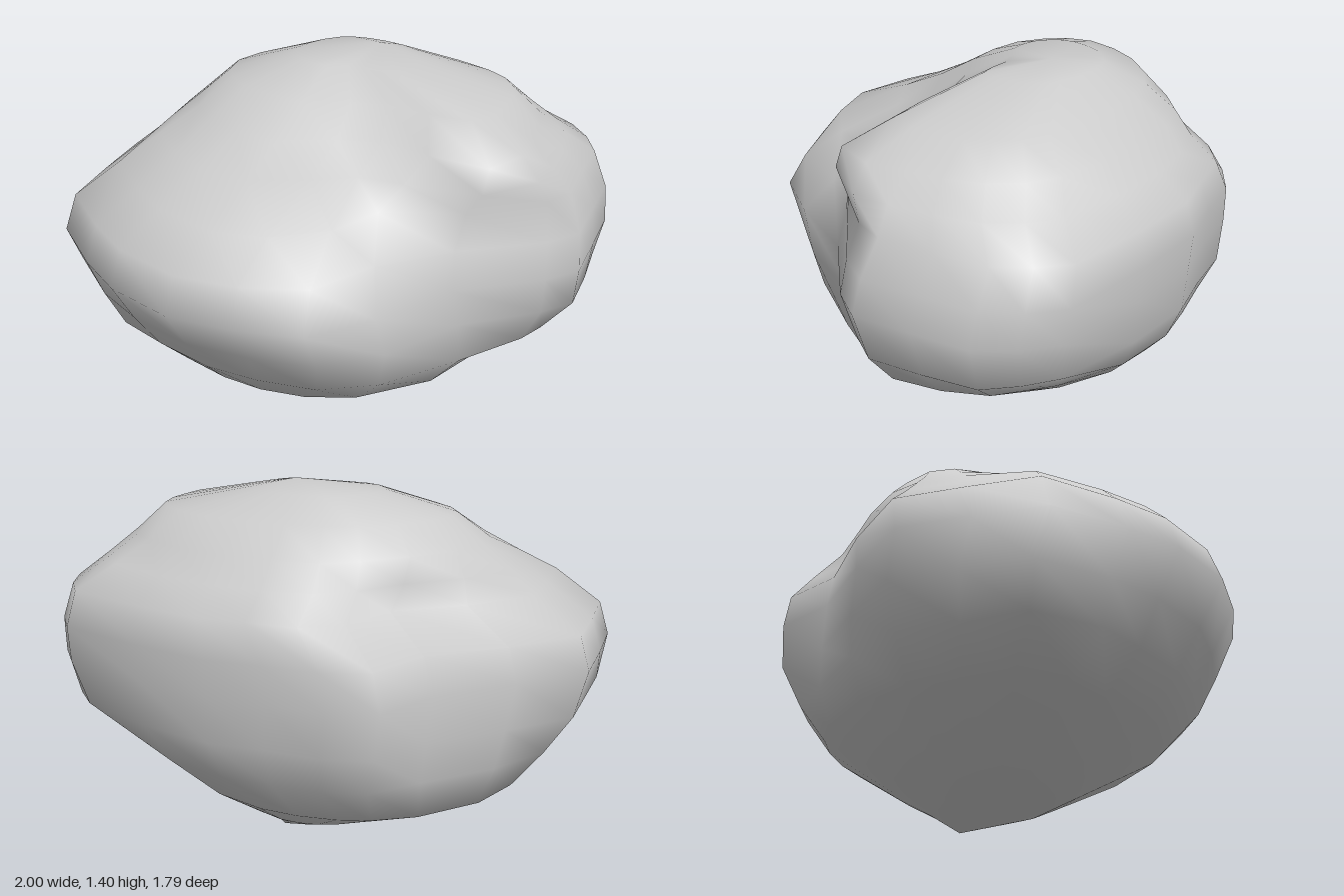
import * as THREE from 'three';

const { lerp, mapLinear, smoothstep } = THREE.MathUtils;

// Plan outline of the boulder at its widest, as [x, z], clockwise seen from above
const middleOutline = [
  [-1, -0.07], [-0.8, -0.32], [-0.58, -0.57], [-0.48, -0.82], [-0.3, -0.88], [-0.08, -0.88], [0.14, -0.9],
  [0.45, -0.84], [0.83, -0.74], [0.93, -0.62], [1, -0.48], [1, -0.25], [1, -0.02], [0.9, 0.1],
  [0.63, 0.33], [0.46, 0.66], [0.26, 0.84], [0.0, 0.88], [-0.25, 0.89], [-0.53, 0.8], [-0.72, 0.67],
  [-0.95, 0.47], [-0.98, 0.2],
];

// Fuller outline of the crown, in the same order and range
const crownOutline = [
  [-1, 0.1], [-0.93, -0.2], [-0.8, -0.5], [-0.6, -0.75], [-0.4, -0.86], [-0.15, -0.9], [0.14, -0.88],
  [0.45, -0.8], [0.7, -0.65], [0.85, -0.5], [0.95, -0.3], [1, -0.05], [1, 0.2], [0.98, 0.46],
  [0.87, 0.72], [0.6, 0.72], [0.3, 0.65], [0.05, 0.72], [-0.25, 0.88], [-0.5, 0.85], [-0.72, 0.75],
  [-0.88, 0.55], [-0.97, 0.35],
];

// Extents of each level: [y, xMin, xMax, zMin, zMax]
const levels = [
  [0.05, -0.14, 0.24, -0.37, 0.11],
  [0.11, -0.33, 0.36, -0.48, 0.24],
  [0.25, -0.74, 0.62, -0.7, 0.56],
  [0.4, -0.86, 0.86, -0.81, 0.71],
  [0.55, -0.96, 0.98, -0.87, 0.8],
  [0.72, -1, 1, -0.88, 0.9],
  [0.86, -0.97, 0.98, -0.89, 0.85],
  [1.0, -0.8, 0.92, -0.87, 0.74],
  [1.09, -0.71, 0.84, -0.77, 0.5],
  [1.18, -0.61, 0.75, -0.7, 0.31],
  [1.28, -0.5, 0.64, -0.57, 0.14],
  [1.36, -0.24, 0.26, -0.42, -0.05],
];

// Local swellings (+) and hollows (-): centre, strength, spread
const bumps = [
  [new THREE.Vector3(0.4, 1.03, 0.52), -0.28, 0.08], // groove between front and left lobes
  [new THREE.Vector3(0.68, 1.05, 0.18), 0.13, 0.04], // front edge of the left lobe
  [new THREE.Vector3(-0.72, 0.3, 0.42), 0.13, 0.06], // low front right corner
  [new THREE.Vector3(0.75, 0.42, -0.65), -0.08, 0.06], // undercut back left corner
  [new THREE.Vector3(-0.5, 1.08, -0.65), -0.12, 0.06], // sloping back right shoulder
];

// Outline point j at height y: elliptical at the base, lobed in the middle, full at the crown
function outlinePoint(j, y) {
  const [mx, mz] = middleOutline[j];
  const [cx, cz] = crownOutline[j];
  const round = 1 / Math.hypot(mx, mz / 0.9);
  const base = lerp(round, 1, smoothstep(y, 0.2, 0.6));
  const crown = smoothstep(y, 0.98, 1.2);
  return [lerp(mx * base, cx, crown), lerp(mz * base, cz, crown)];
}

function createBoulderGeometry() {
  const positions = [];
  const index = [];
  const n = middleOutline.length;
  const p = new THREE.Vector3();

  for (const [y, x0, x1, z0, z1] of levels) {
    for (let j = 0; j < n; j++) {
      const [ox, oz] = outlinePoint(j, y);
      p.set(mapLinear(ox, -1, 1, x0, x1), y, mapLinear(oz, -0.9, 0.89, z0, z1));
      let scale = 1;
      for (const [centre, strength, spread] of bumps) {
        scale += strength * Math.exp(-p.distanceToSquared(centre) / spread);
      }
      positions.push(p.x * scale, y, -0.1 + (p.z + 0.1) * scale);
    }
  }

  // Skin between levels
  for (let i = 0; i < levels.length - 1; i++) {
    for (let j = 0; j < n; j++) {
      const a = i * n + j;
      const b = i * n + (j + 1) % n;
      index.push(a, a + n, b + n, a, b + n, b);
    }
  }

  // Closing tips at the bottom and the top
  const bottom = positions.length / 3;
  positions.push(0.14, 0, -0.29, 0.08, 1.4, -0.28);
  const last = (levels.length - 1) * n;
  for (let j = 0; j < n; j++) {
    const k = (j + 1) % n;
    index.push(bottom, j, k, bottom + 1, last + k, last + j);
  }

  const geometry = new THREE.BufferGeometry();
  geometry.setAttribute('position', new THREE.Float32BufferAttribute(positions, 3));
  geometry.setIndex(index);
  geometry.computeVertexNormals();
  return geometry;
}

export function createModel() {
  const group = new THREE.Group();
  group.name = 'rock';
  const boulder = new THREE.Mesh(
    createBoulderGeometry(),
    new THREE.MeshStandardMaterial({ color: 0xcccccc }),
  );
  boulder.name = 'boulder';
  group.add(boulder);
  return group;
}
